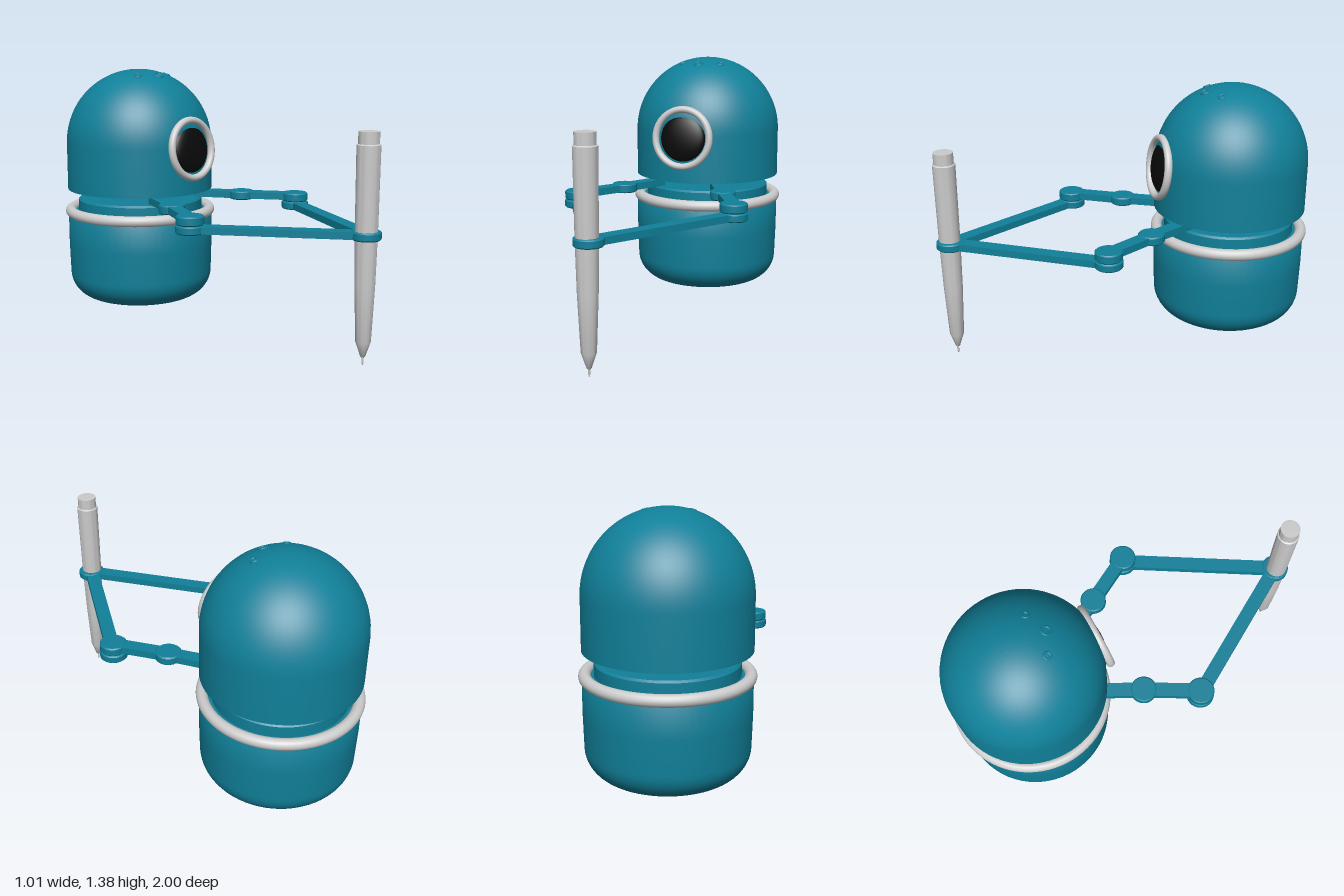
import * as THREE from 'three';
import { toCreasedNormals } from 'three/addons/utils/BufferGeometryUtils.js';

const teal = new THREE.MeshStandardMaterial({ color: 0x108099 });
const black = new THREE.MeshStandardMaterial({ color: 0x0a0a0a });
const grey = new THREE.MeshStandardMaterial({ color: 0xcccccc });

function add(parent, name, geometry, material, x = 0, y = 0, z = 0) {
  const mesh = new THREE.Mesh(geometry, material);
  mesh.name = name;
  mesh.position.set(x, y, z);
  parent.add(mesh);
  return mesh;
}

function lathe(points, segments = 64) {
  const g = new THREE.LatheGeometry(points.map(([r, y]) => new THREE.Vector2(r, y)), segments);
  return toCreasedNormals(g, 0.6);
}

// Quarter ellipse as [radius, y] pairs
function arc(cx, cy, rx, ry, from, to, steps) {
  return Array.from({ length: steps + 1 }, (_, i) => {
    const a = from + (to - from) * i / steps;
    return [Math.max(0, cx + rx * Math.cos(a)), cy + ry * Math.sin(a)];
  });
}

// Flat bar between two points in plan
function bar(parent, name, [x0, z0], [x1, z1], y, width, height) {
  const dx = x1 - x0, dz = z1 - z0;
  const geometry = new THREE.BoxGeometry(width, height, Math.hypot(dx, dz));
  const mesh = add(parent, name, geometry, teal, (x0 + x1) / 2, y, (z0 + z1) / 2);
  mesh.rotation.y = Math.atan2(dx, dz);
}

// Round joint with softened edges
function joint(parent, name, [x, z], y, radius, height) {
  const h = height / 2, b = 0.006;
  add(parent, name, lathe([
    [0, -h], [radius - b, -h], [radius, -h + b], [radius, h - b], [radius - b, h], [0, h],
  ], 32), teal, x, y, z);
}

export function createModel() {
  const model = new THREE.Group();
  model.name = 'drawingRobot';
  const body = new THREE.Group();
  body.name = 'body';
  body.position.set(0.007, 0, -0.577);
  model.add(body);

  // Base tub with rounded bottom and a narrower neck
  add(body, 'base', lathe([
    [0, 0.08],
    ...arc(0.25, 0.23, 0.153, 0.15, -Math.PI / 2, 0, 12),
    [0.408, 0.4], [0.408, 0.565], [0.395, 0.585], [0.35, 0.585],
    [0.35, 0.645], [0.34, 0.655], [0, 0.655],
  ]), teal);

  // Bumper ring around the waist
  const bumper = add(body, 'bumperRing', new THREE.TorusGeometry(0.394, 0.03, 16, 80), grey, 0, 0.58, 0);
  bumper.rotation.x = Math.PI / 2;

  // Hollow domed head
  add(body, 'head', lathe([
    ...arc(0, 0.965, 0.365, 0.365, Math.PI / 2, 0, 16),
    [0.365, 0.707], [0.408, 0.707],
    ...arc(0, 0.965, 0.408, 0.41, 0, Math.PI / 2, 24),
  ]), teal);

  // Small raised rings on top of the head
  for (const [x, z, r] of [[-0.113, 0.108, 0.016], [0, 0.157, 0.022], [0.113, 0.108, 0.016]]) {
    const normal = new THREE.Vector3(x, Math.sqrt(0.409 ** 2 - x * x - z * z), z);
    const ring = add(body, 'topRing', new THREE.TorusGeometry(r, 0.006, 10, 24), teal,
      normal.x, normal.y + 0.965, normal.z);
    ring.quaternion.setFromUnitVectors(new THREE.Vector3(0, 0, 1), normal.normalize());
  }

  // Eye, tilted slightly upward
  const eye = new THREE.Group();
  eye.name = 'eye';
  eye.position.set(0.007, 0.955, -0.175);
  eye.rotation.x = -0.12;
  model.add(eye);
  const rim = add(eye, 'eyeRim', new THREE.TorusGeometry(0.156, 0.019, 16, 64), grey);
  rim.scale.z = 1.1;
  const socket = add(eye, 'eyeSocket', new THREE.CylinderGeometry(0.15, 0.15, 0.05, 48, 1, true), teal, 0, 0, -0.022);
  socket.rotation.x = Math.PI / 2;
  const lens = add(eye, 'eyeLens', new THREE.SphereGeometry(0.128, 48, 24), black, 0, 0, -0.012);
  lens.scale.z = 0.31;

  // Mirrored arm linkage
  const tip = [0, 0.928];
  for (const side of [-1, 1]) {
    const arm = new THREE.Group();
    arm.name = side > 0 ? 'leftArm' : 'rightArm';
    model.add(arm);
    const root = [side * 0.165, -0.293], elbow = [side * 0.285, -0.055], knee = [side * 0.433, 0.205];
    bar(arm, 'shoulderBar', root, elbow, 0.685, 0.072, 0.038);
    bar(arm, 'upperBar', elbow, knee, 0.685, 0.072, 0.038);
    joint(arm, 'elbowJoint', elbow, 0.685, 0.068, 0.046);
    joint(arm, 'upperKneeJoint', knee, 0.683, 0.07, 0.046);
    joint(arm, 'lowerKneeJoint', knee, 0.638, 0.072, 0.042);
    bar(arm, 'forearmBar', knee, tip, 0.638, 0.072, 0.036);
  }
  joint(model, 'penHolder', tip, 0.638, 0.072, 0.042);

  // Pen: needle point, cone, tapered barrel and cap
  add(model, 'pen', lathe([
    [0, 0], [0.004, 0.005], [0.006, 0.04], [0.012, 0.045], [0.037, 0.12],
    [0.049, 0.4], [0.054, 0.65], [0.057, 1.065], [0.05, 1.07], [0.05, 1.128], [0, 1.13],
  ], 40), grey, -0.007, 0, 0.932);

  return model;
}
